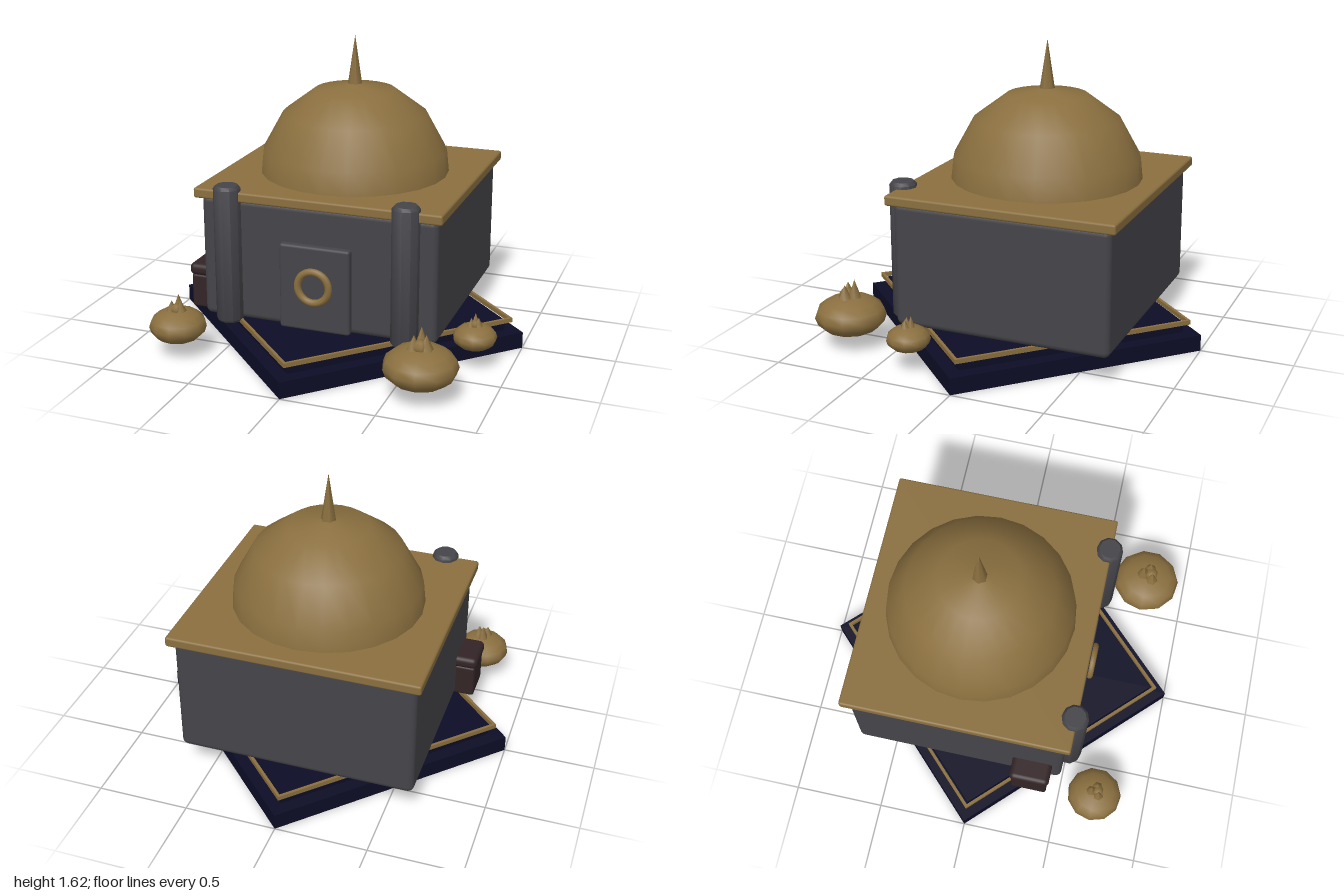
import * as THREE from 'three';
import { RoundedBoxGeometry } from 'three/addons/geometries/RoundedBoxGeometry.js';
import { toCreasedNormals } from 'three/addons/utils/BufferGeometryUtils.js';

const material = (name, color) => {
  const m = new THREE.MeshStandardMaterial({ color });
  m.name = name;
  return m;
};

export function createModel() {
  const gold = material('old gold', 0x8a6f3f);
  const stone = material('grey stone', 0x454449);
  const navy = material('dark navy', 0x0d0d26);
  const wood = material('dark wood', 0x332426);

  const model = new THREE.Group();
  model.name = 'domedVault';

  const add = (name, geometry, mat, x, y, z, parent = model) => {
    const mesh = new THREE.Mesh(geometry, mat);
    mesh.name = name;
    mesh.position.set(x, y, z);
    parent.add(mesh);
    return mesh;
  };
  // Rounded box given by its minimum and maximum corners
  const block = (name, mat, [x0, y0, z0], [x1, y1, z1], radius) =>
    add(name, new RoundedBoxGeometry(x1 - x0, y1 - y0, z1 - z0, 3, radius), mat,
      (x0 + x1) / 2, (y0 + y1) / 2, (z0 + z1) / 2);
  const lathe = (points, sides) =>
    new THREE.LatheGeometry(points.map(([r, y]) => new THREE.Vector2(r, y)), sides);
  const diamond = (r, Type = THREE.Shape) =>
    new Type([[r, 0], [0, r], [-r, 0], [0, -r]].map(([x, y]) => new THREE.Vector2(x, y)));

  // Stepped diamond plinth with a raised gold border
  const tier = (r, h) => new THREE.CylinderGeometry(r, r, h, 4).toNonIndexed();
  const flat = (geometry) => { geometry.computeVertexNormals(); return geometry; };
  add('plinthLower', flat(tier(1, 0.09)), navy, 0, 0.045, 0);
  add('plinthUpper', flat(tier(0.9, 0.055)), navy, 0, 0.1175, 0);
  const border = diamond(0.94);
  border.holes.push(diamond(0.917, THREE.Path));
  const trim = new THREE.ExtrudeGeometry(border, { depth: 0.024, bevelEnabled: false });
  trim.rotateX(-Math.PI / 2);
  add('plinthTrim', trim, gold, 0, 0.141, 0);

  // Building and roof slab
  block('walls', stone, [-0.65, 0.16, -0.70], [0.65, 0.835, 0.49], 0.035);
  block('roofSlab', gold, [-0.68, 0.825, -0.735], [0.68, 0.88, 0.52], 0.012);

  // Dome and spire
  add('dome', lathe([[0.52, 0.86], [0.505, 1.0], [0.395, 1.2], [0.22, 1.33], [0, 1.368]], 24),
    gold, 0, 0, -0.11);
  const spire = add('spire', new THREE.ConeGeometry(0.043, 0.28, 6), gold, 0, 1.485, -0.11);
  spire.rotation.y = Math.PI / 2;

  // Front columns with bevelled ends
  const column = toCreasedNormals(lathe([[0, 0.155], [0.06, 0.155], [0.073, 0.17],
    [0.073, 0.895], [0.058, 0.912], [0, 0.912]], 10), 0.7);
  for (const side of [-1, 1]) {
    add(side > 0 ? 'leftColumn' : 'rightColumn', column, stone, side * 0.49, 0, 0.507);
  }

  // Door and ring handle
  block('door', stone, [-0.195, 0.162, 0.45], [0.195, 0.632, 0.525], 0.016);
  add('doorRing', new THREE.TorusGeometry(0.086, 0.02, 8, 28), gold, 0, 0.415, 0.537);

  // Chest against the side wall
  block('chestBody', wood, [-0.757, 0.16, 0.22], [-0.5, 0.35, 0.425], 0.015);
  block('chestLid', wood, [-0.767, 0.345, 0.21], [-0.49, 0.413, 0.435], 0.028);

  // Squat treasure mounds, each topped with three nuggets
  const piles = [
    ['rightPile', -0.705, 0.17, 0.70, 0.153, 0.092],
    ['leftPile', 0.652, 0.178, 0.76, 0.193, 0.107],
    ['leftSmallPile', 0.815, 0.177, 0.325, 0.116, 0.068],
  ];
  const mound = new THREE.SphereGeometry(1, 11, 8);
  for (const [name, x, y, z, r, h] of piles) {
    const pile = new THREE.Group();
    pile.name = name;
    pile.position.set(x, y, z);
    model.add(pile);
    add('mound', mound, gold, 0, 0, 0, pile).scale.set(r, h, r);
    const n = r * 0.2;
    [[-0.02, -0.14, 1.35], [0.17, 0.06, 1], [-0.14, 0.14, 0.95]].forEach(([dx, dz, s], i) => {
      const nugget = add('nugget' + (i + 1), new THREE.ConeGeometry(n, n * 2.1 * s, 6), gold,
        dx * r, h + n * 0.75 * s, dz * r, pile);
      nugget.rotation.y = i;
    });
    add('nuggetBase', new THREE.SphereGeometry(n * 1.1, 6, 5), gold, 0, h, r * 0.1, pile);
  }

  return model;
}
